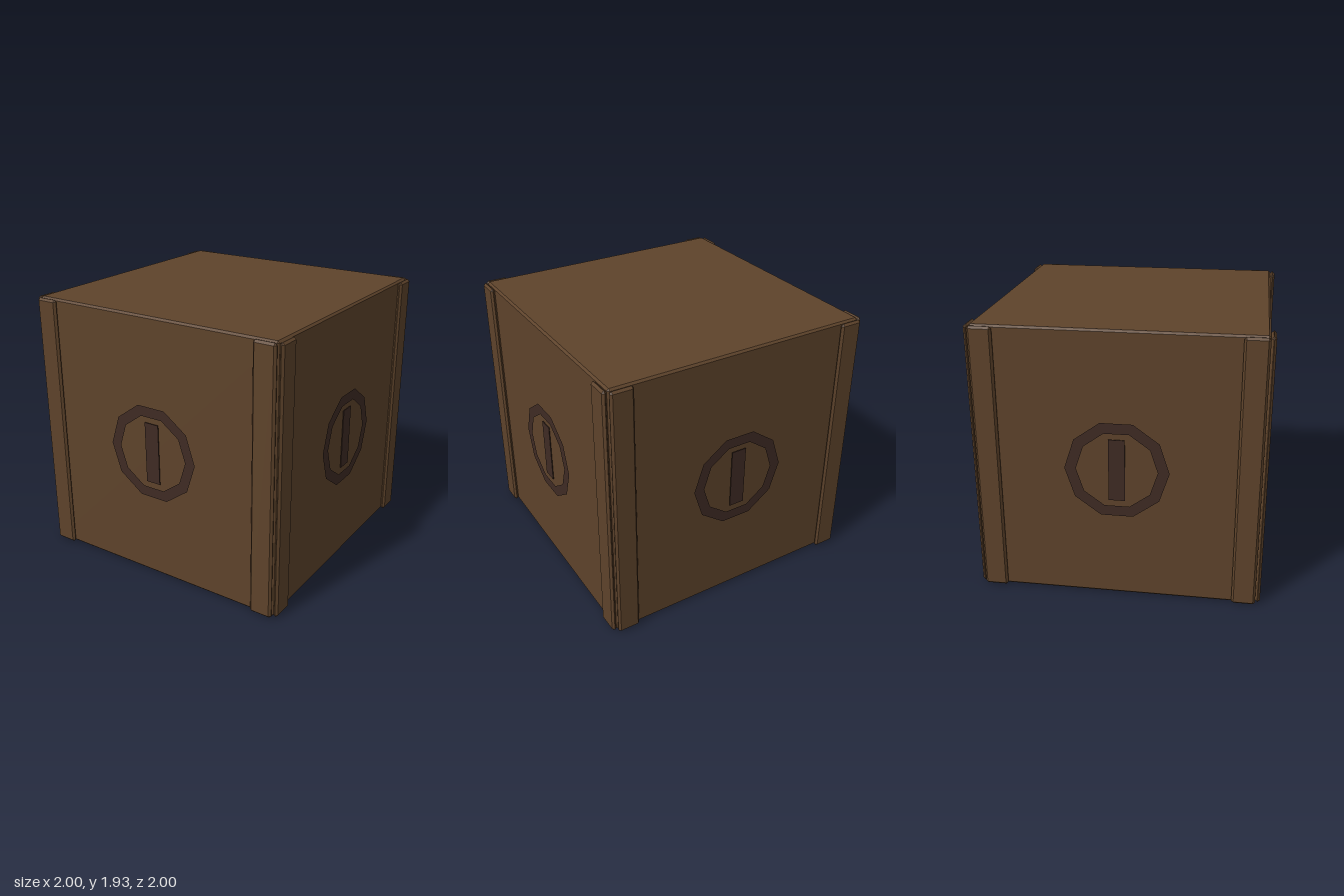
import * as THREE from 'three';
import { ConvexGeometry } from 'three/addons/geometries/ConvexGeometry.js';

const HEIGHT = 1.935;
const MID = HEIGHT / 2;

// Box with every edge cut by a flat chamfer b
function chamferBox(w, h, d, b) {
  const half = [w / 2, h / 2, d / 2];
  const points = [];
  for (const sx of [-1, 1]) for (const sy of [-1, 1]) for (const sz of [-1, 1]) {
    for (let full = 0; full < 3; full++) {
      const c = half.map((v, i) => (i === full ? v : v - b));
      points.push(new THREE.Vector3(c[0] * sx, c[1] * sy, c[2] * sz));
    }
  }
  return new ConvexGeometry(points);
}

export function createModel() {
  const wood = new THREE.MeshStandardMaterial({ color: 0x5e432b });
  wood.name = 'brown wood';
  const dark = new THREE.MeshStandardMaterial({ color: 0x3f2b24, side: THREE.DoubleSide });
  dark.name = 'dark brown emblem';

  const model = new THREE.Group();
  model.name = 'crate';

  const add = (parent, name, geometry, material, x, y, z) => {
    const mesh = new THREE.Mesh(geometry, material);
    mesh.name = name;
    mesh.position.set(x, y, z);
    parent.add(mesh);
  };

  // Main block
  add(model, 'body', chamferBox(1.932, HEIGHT, 1.932, 0.014), wood, 0, MID, 0);

  // Shared parts of one side
  const stripGeometry = chamferBox(0.165, 1.925, 0.034, 0.015);
  const ringGeometry = new THREE.RingGeometry(0.278, 0.357, 10);
  const barGeometry = new THREE.BoxGeometry(0.112, 0.445, 0.006);

  // Four identical sides: corner strips, ring and bar
  ['front', 'left', 'back', 'right'].forEach((name, i) => {
    const side = new THREE.Group();
    side.name = name + 'Side';
    side.rotation.y = (i * Math.PI) / 2;
    for (const s of [-1, 1]) {
      add(side, 'cornerStrip', stripGeometry, wood, s * 0.884, MID, 0.983);
    }
    add(side, 'emblemRing', ringGeometry, dark, 0, MID, 0.983);
    add(side, 'emblemBar', barGeometry, dark, 0, MID, 0.981);
    model.add(side);
  });

  return model;
}
